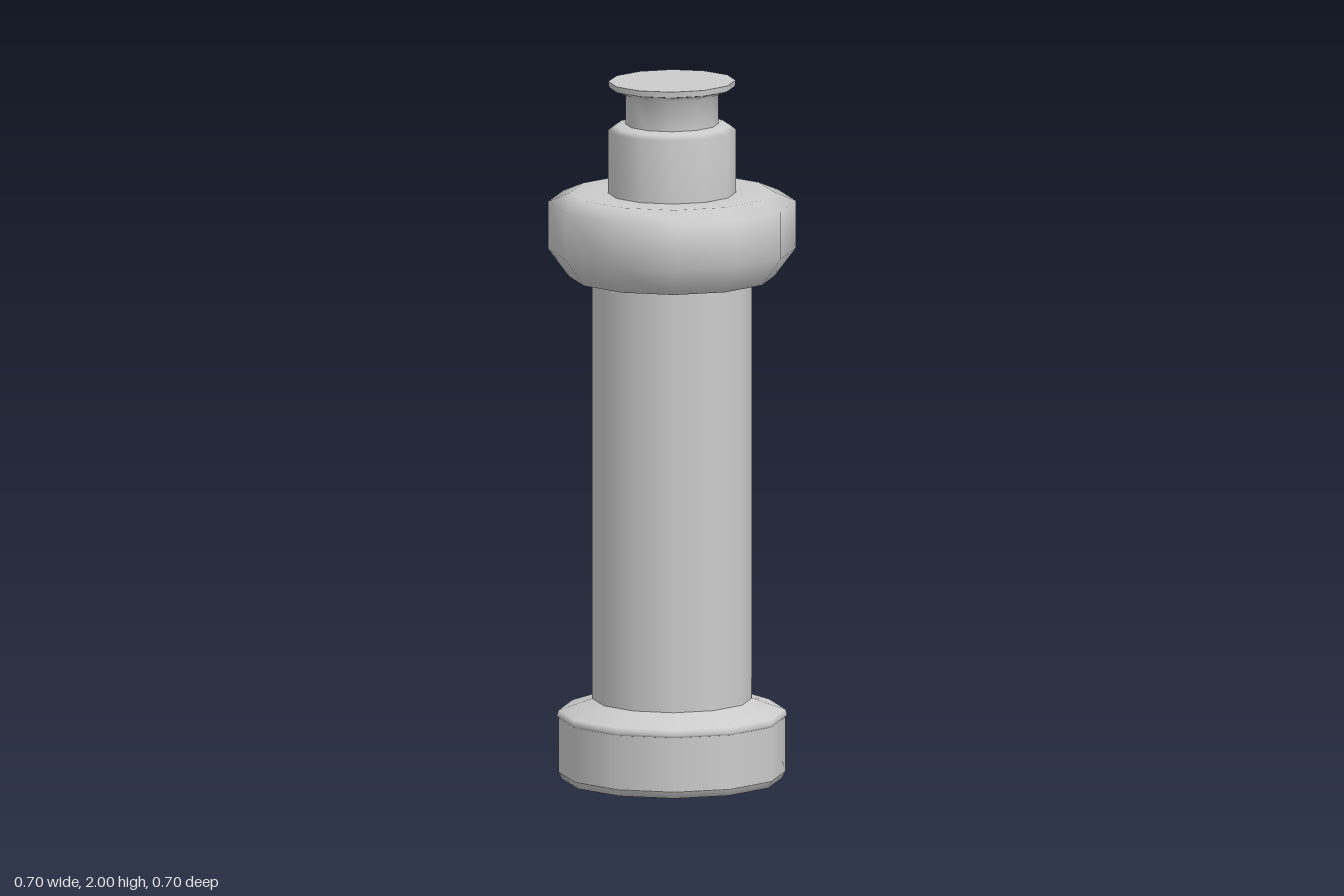
import * as THREE from 'three';

const SIDES = 12;

export function createModel() {
  const group = new THREE.Group();
  const material = new THREE.MeshStandardMaterial({ color: 0xcccccc });

  // Twelve-sided turned part; profile is [radius, height] with the surface on its right-hand side
  function turned(name, profile, depth = 1) {
    const points = profile.map(([r, y]) => new THREE.Vector2(r, y));
    const mesh = new THREE.Mesh(new THREE.LatheGeometry(points, SIDES), material);
    mesh.name = name;
    mesh.scale.z = depth;
    group.add(mesh);
  }

  // Hollow foot: recess ceiling, inner wall, rim and outer wall
  turned('recessCeiling', [[0, 0.2], [0.22, 0.19], [0.295, 0.16]]);
  turned('recessWall', [[0.295, 0.16], [0.295, 0.01]]);
  turned('footRim', [[0.295, 0.01], [0.31, 0], [0.32, 0.02]]);
  turned('footWall', [[0.32, 0.02], [0.32, 0.175]]);
  turned('footShoulder', [[0.32, 0.175], [0.325, 0.182], [0.32, 0.197], [0.225, 0.23]]);

  // Straight shaft
  turned('shaft', [[0.225, 0.22], [0.225, 1.45]]);

  // Bulging collar
  turned('collar', [
    [0.22, 1.43], [0.29, 1.44], [0.35, 1.52], [0.35, 1.655], [0.285, 1.682], [0.18, 1.68],
  ]);

  // Neck, narrow stem and flared button
  turned('neck', [[0.182, 1.67], [0.182, 1.86], [0.165, 1.873], [0.133, 1.878]], 0.97);
  turned('stem', [[0.133, 1.87], [0.133, 1.965], [0.18, 1.983]], 0.96);
  turned('buttonEdge', [[0.18, 1.983], [0.182, 2]], 0.95);
  turned('buttonTop', [[0.182, 2], [0, 2]], 0.95);

  return group;
}
